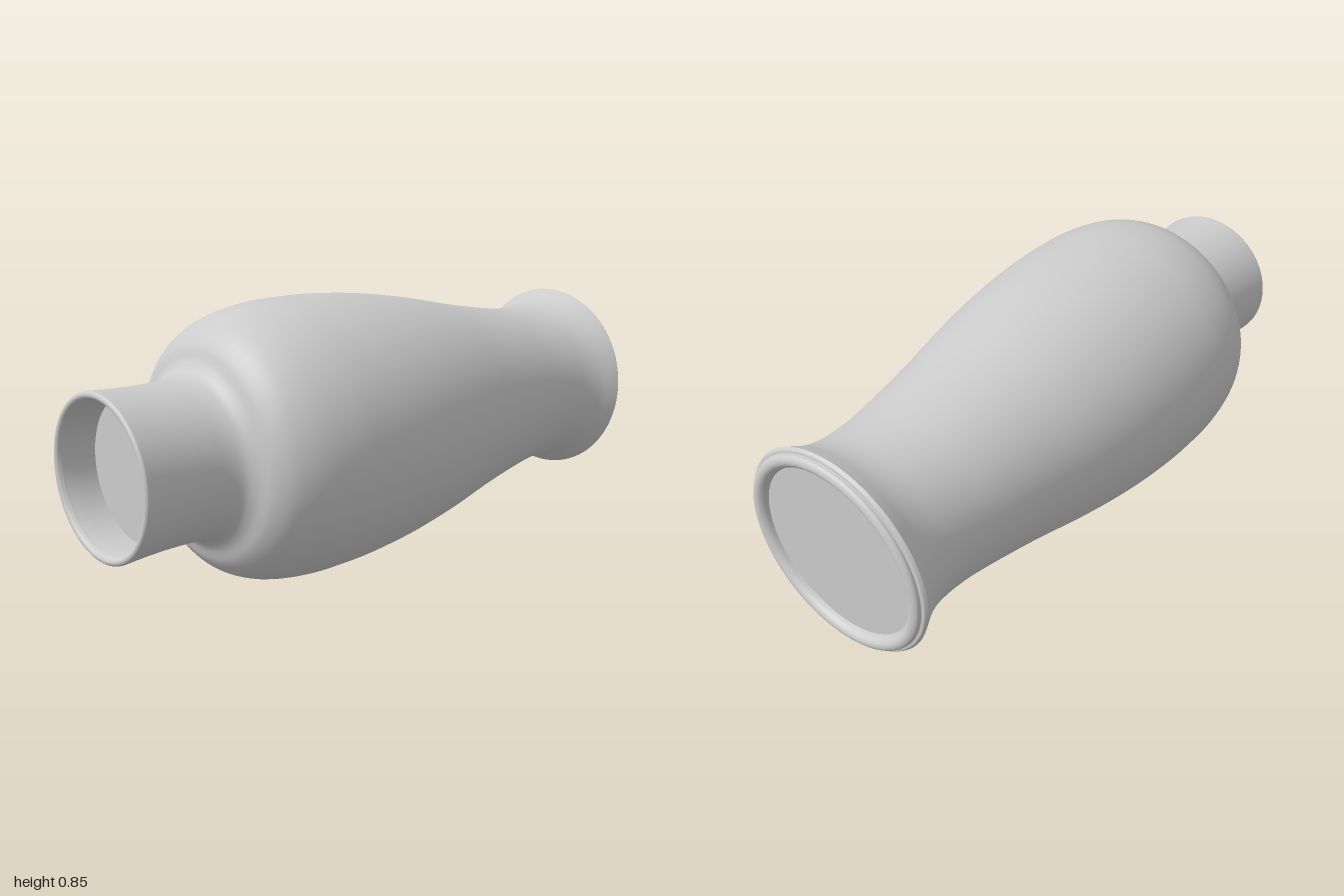
import * as THREE from 'three';

const CENTRE_Y = 0.427;
const SEGMENTS = 96;

// Smooth curve through [radius, z] points, spun around the z axis
function spin(name, profile, samples, material) {
  const curve = new THREE.CatmullRomCurve3(
    profile.map(([r, z]) => new THREE.Vector3(r, z, 0)), false, 'centripetal');
  const points = curve.getPoints(samples).map(p => new THREE.Vector2(Math.max(p.x, 0), p.y));
  const geometry = new THREE.LatheGeometry(points, SEGMENTS);
  geometry.rotateX(Math.PI / 2);

  // Hand-thrown lean: the axis drifts slightly and the foot is cut a little askew
  const pos = geometry.attributes.position;
  for (let i = 0; i < pos.count; i++) {
    const x = pos.getX(i), y = pos.getY(i), z = pos.getZ(i);
    const foot = THREE.MathUtils.smoothstep(-z, 0.7, 0.96);
    const drift = z - 0.3;
    pos.setXYZ(i, x + 0.009 * drift, y - 0.005 * drift, z - 0.024 * y * foot);
  }
  const mesh = new THREE.Mesh(geometry, material);
  mesh.name = name;
  mesh.position.y = CENTRE_Y;
  return mesh;
}

export function createModel() {
  const group = new THREE.Group();
  group.name = 'vase';
  const clay = new THREE.MeshStandardMaterial({ color: 0xcccccc, side: THREE.DoubleSide });

  // Recessed underside of the foot
  group.add(spin('underside', [[0, -0.966], [0.14, -0.966], [0.272, -0.966]], 6, clay));

  // Rolled foot ring with a fine groove before the flare
  group.add(spin('footRing', [
    [0.272, -0.966], [0.277, -0.98], [0.288, -0.99], [0.3, -0.992],
    [0.312, -0.987], [0.316, -0.98], [0.316, -0.974], [0.325, -0.972], [0.331, -0.963],
  ], 40, clay));

  // Flared foot, waist, full belly, shoulder and neck
  group.add(spin('body', [
    [0.331, -0.963], [0.322, -0.945], [0.3, -0.9], [0.286, -0.85], [0.281, -0.79],
    [0.284, -0.7], [0.297, -0.6], [0.332, -0.4], [0.374, -0.2], [0.407, 0],
    [0.424, 0.18], [0.427, 0.3], [0.424, 0.4], [0.409, 0.5], [0.39, 0.56],
    [0.362, 0.61], [0.322, 0.645], [0.276, 0.666], [0.251, 0.688], [0.238, 0.725],
    [0.234, 0.78], [0.234, 0.86], [0.237, 0.93], [0.241, 0.985],
  ], 140, clay));

  // Rounded lip
  group.add(spin('lip', [
    [0.241, 0.985], [0.241, 0.994], [0.236, 0.999], [0.229, 1], [0.222, 0.996], [0.217, 0.985],
  ], 24, clay));

  // Inside of the mouth, closed by a flat floor
  group.add(spin('mouthWall', [[0.217, 0.985], [0.213, 0.95], [0.212, 0.88]], 10, clay));
  group.add(spin('mouthFloor', [[0.212, 0.88], [0.1, 0.88], [0, 0.88]], 6, clay));

  return group;
}
